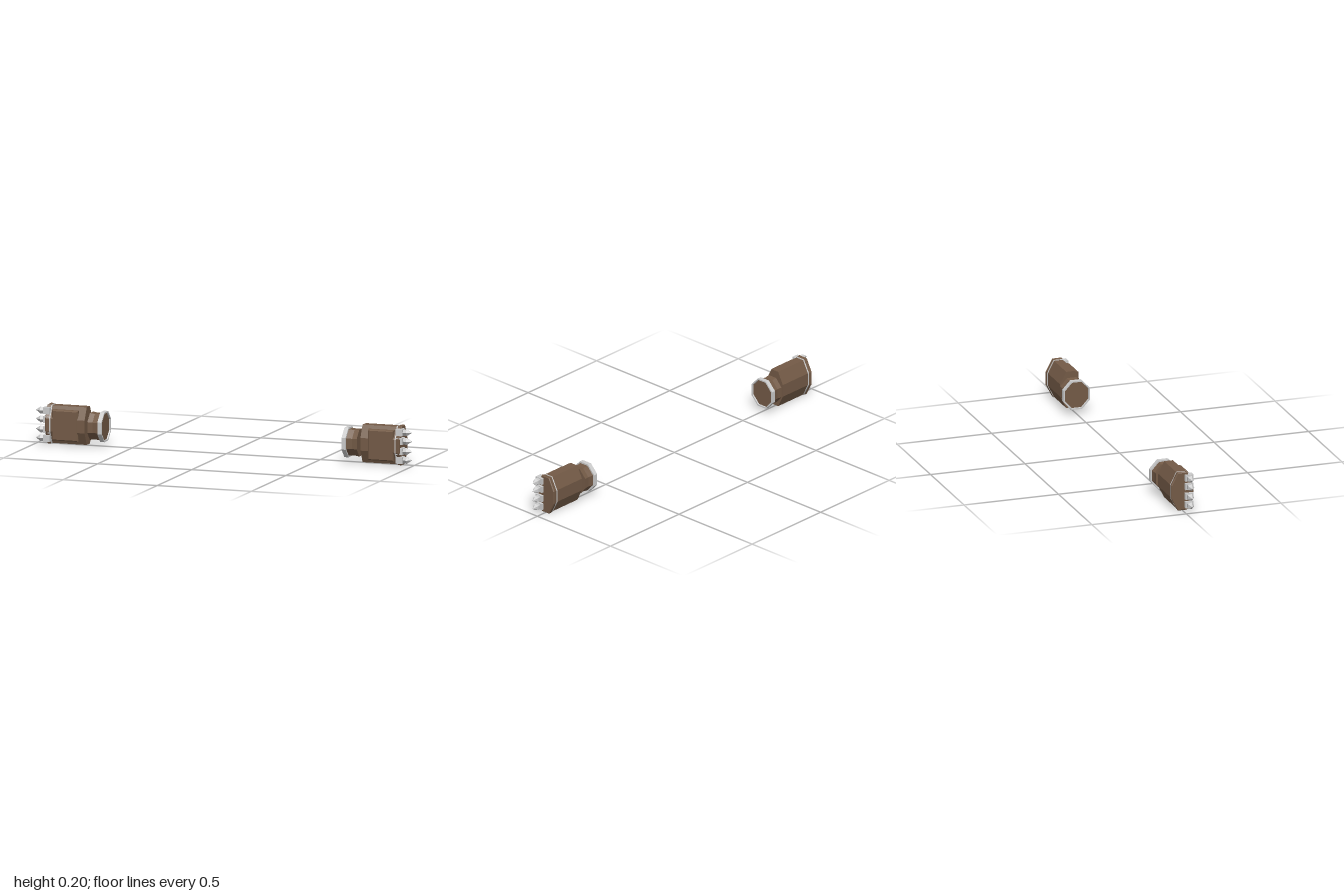
import * as THREE from 'three';

const leather = new THREE.MeshStandardMaterial({ color: 0x735a46, flatShading: true, side: THREE.DoubleSide });
const metal = new THREE.MeshStandardMaterial({ color: 0xcccccc, flatShading: true, side: THREE.DoubleSide });

// Eight-sided section at x with half height h and half depth d, flat fractions fy and fz
function octagon({ x, h, d, fy = 0.4, fz = 0.4 }) {
  const q = [[1, fz], [fy, 1], [-fy, 1], [-1, fz], [-1, -fz], [-fy, -1], [fy, -1], [1, -fz]];
  return q.map(([y, z]) => [x, y * h, z * d]);
}

// Skin a row of sections along x; optional flat caps at each end
function loft(sections, capStart = true, capEnd = true) {
  const rings = sections.map(octagon);
  const pos = [];
  const tri = (a, b, c) => pos.push(...a, ...b, ...c);
  for (let i = 0; i < rings.length - 1; i++) {
    for (let j = 0; j < 8; j++) {
      const k = (j + 1) % 8, a = rings[i], b = rings[i + 1];
      tri(a[j], a[k], b[k]);
      tri(a[j], b[k], b[j]);
    }
  }
  const first = rings[0], last = rings[rings.length - 1];
  for (let j = 1; j < 7; j++) {
    if (capStart) tri(first[0], first[j + 1], first[j]);
    if (capEnd) tri(last[0], last[j], last[j + 1]);
  }
  const g = new THREE.BufferGeometry();
  g.setAttribute('position', new THREE.Float32BufferAttribute(pos, 3));
  g.computeVertexNormals();
  return g;
}

function part(parent, name, geometry, material) {
  const mesh = new THREE.Mesh(geometry, material);
  mesh.name = name;
  parent.add(mesh);
  return mesh;
}

// One gauntlet pointing along +x, centred on y = 0
function gauntlet(name) {
  const g = new THREE.Group();
  g.name = name;
  const hand = { fy: 0.34, fz: 0.42 };

  // Wrist sleeve, flaring toward the cuff
  part(g, 'wrist', loft([
    { x: 0.645, h: 0.067, d: 0.062 },
    { x: 0.66, h: 0.067, d: 0.062 },
    { x: 0.69, h: 0.064, d: 0.058 },
    { x: 0.716, h: 0.068, d: 0.061 },
  ]), leather);

  // Metal ring round the cuff opening
  part(g, 'cuffRing', loft([
    { x: 0.645, h: 0.067, d: 0.062 },
    { x: 0.638, h: 0.068, d: 0.063 },
    { x: 0.638, h: 0.075, d: 0.07 },
    { x: 0.66, h: 0.075, d: 0.07 },
    { x: 0.66, h: 0.066, d: 0.061 },
  ], false, false), metal);

  // Hand body
  part(g, 'hand', loft([
    { x: 0.733, h: 0.095, d: 0.055, ...hand },
    { x: 0.918, h: 0.095, d: 0.055, ...hand },
  ]), leather);

  // Narrow trim and leather rim at the knuckles
  part(g, 'knuckleTrim', loft([
    { x: 0.915, h: 0.0975, d: 0.057, ...hand },
    { x: 0.921, h: 0.0975, d: 0.057, ...hand },
  ]), metal);
  part(g, 'knuckleRim', loft([
    { x: 0.92, h: 0.097, d: 0.056, ...hand },
    { x: 0.938, h: 0.1, d: 0.059, ...hand },
    { x: 0.942, h: 0.096, d: 0.055, ...hand },
  ]), leather);

  // Raised plate on the back of the hand, bevelled toward its face
  const plate = new THREE.Shape([[0.77, -0.078], [0.908, -0.078], [0.908, 0.078], [0.77, 0.078]]
    .map(p => new THREE.Vector2(...p)));
  const plateGeo = new THREE.ExtrudeGeometry(plate, {
    depth: 0.03, bevelThickness: 0.008, bevelSize: 0.006, bevelOffset: -0.006, bevelSegments: 1,
  });
  plateGeo.translate(0, 0, 0.019);
  part(g, 'handPlate', plateGeo, leather);

  // Four studded spikes
  for (const y of [-0.07, -0.0255, 0.0255, 0.07]) {
    const spike = new THREE.Group();
    spike.name = 'spike';
    spike.position.set(0, y, 0.033);
    part(spike, 'spikeBase', new THREE.BoxGeometry(0.036, 0.034, 0.043), metal).position.x = 0.937;
    const profile = [[0.016, 0], [0.0185, 0.02], [0.0001, 0.047]].map(p => new THREE.Vector2(...p));
    const tip = new THREE.LatheGeometry(profile, 5);
    tip.rotateZ(-Math.PI / 2);
    part(spike, 'spikeTip', tip, metal).position.x = 0.953;
    g.add(spike);
  }
  g.position.y = 0.1;
  return g;
}

export function createModel() {
  const model = new THREE.Group();
  model.name = 'gauntlets';
  const left = gauntlet('leftGauntlet');
  // A half turn about z mirrors the symmetric gauntlet to the other side
  const right = gauntlet('rightGauntlet');
  right.rotation.z = Math.PI;
  model.add(left, right);
  return model;
}
